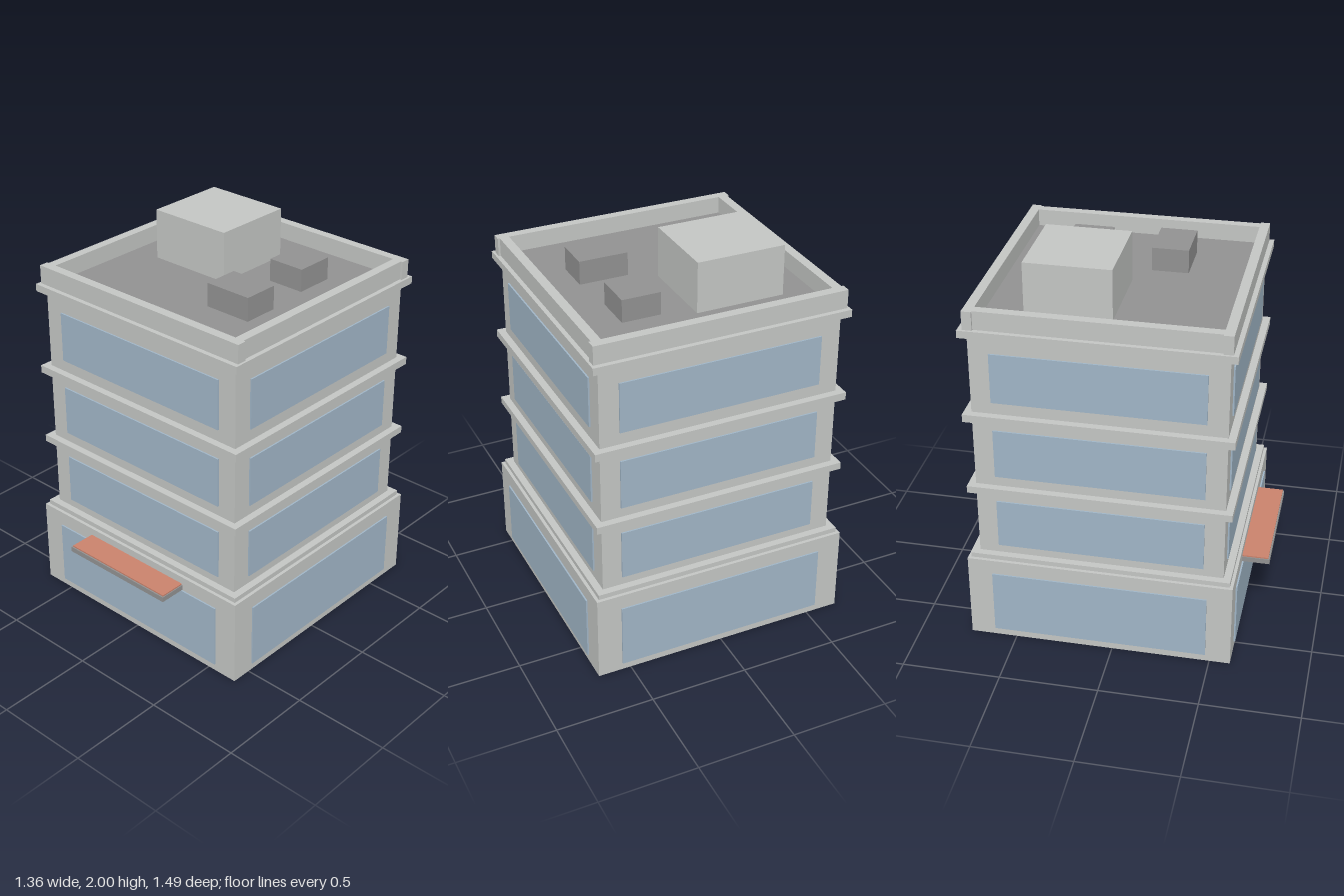
import * as THREE from 'three';

const make = (name, color) => {
  const m = new THREE.MeshStandardMaterial({ color });
  m.name = name;
  return m;
};

export function createModel() {
  const concrete = make('concrete', 0xc3c5c3);
  const glass = make('glass', 0xa0b5c6);
  const darkGrey = make('darkGrey', 0x919191);
  const terracotta = make('terracotta', 0xc9826c);
  const shell = make('shellConcrete', 0xc3c5c3);
  shell.side = THREE.DoubleSide;

  const building = new THREE.Group();
  building.name = 'officeBuilding';

  // Box given by its extents on each axis
  const box = (name, mat, [x0, x1], [y0, y1], [z0, z1], parent = building) => {
    const mesh = new THREE.Mesh(new THREE.BoxGeometry(x1 - x0, y1 - y0, z1 - z0), mat);
    mesh.position.set((x0 + x1) / 2, (y0 + y1) / 2, (z0 + z1) / 2);
    mesh.name = name;
    parent.add(mesh);
    return mesh;
  };

  // The tower stands slightly behind the origin to make room for the canopy
  const tower = new THREE.Group();
  tower.name = 'tower';
  tower.position.z = -0.066;
  building.add(tower);
  const block = (name, mat, half, y) => box(name, mat, [-half, half], y, [-half, half], tower);

  // One thin window plate on each of the four sides
  const windows = (name, wall, half, y) => {
    for (let i = 0; i < 4; i++) {
      const side = new THREE.Group();
      side.name = name;
      side.rotation.y = i * Math.PI / 2;
      box(name + 'Pane', glass, [-half, half], y, [wall - 0.001, wall + 0.008], side);
      tower.add(side);
    }
  };

  // Ground floor: a hollow shell, open underneath
  const ground = block('groundFloor', shell, 0.671, [0, 0.459]);
  const index = Array.from(ground.geometry.index.array);
  index.splice(18, 6);
  ground.geometry.setIndex(index);
  ground.geometry.clearGroups();
  windows('groundWindow', 0.671, 0.545, [0.04, 0.382]);

  // Upper floors with window bands and ledges
  block('upperFloors', concrete, 0.618, [0.47, 1.72]);
  for (const y of [0.53, 0.935, 1.35]) windows('upperWindow', 0.618, 0.518, [y, y + 0.26]);
  for (const [y0, y1] of [[0.46, 0.485], [0.845, 0.882], [1.247, 1.287], [1.697, 1.735]]) {
    block('ledge', concrete, 0.655, [y0, y1]);
  }

  // Roof deck and parapet
  block('roofDeck', darkGrey, 0.59, [1.734, 1.742]);
  for (const s of [-1, 1]) {
    const span = (a, b) => [Math.min(s * a, s * b), Math.max(s * a, s * b)];
    box('parapetAcross', concrete, [-0.643, 0.643], [1.735, 1.83], span(0.583, 0.631), tower);
    box('parapetSide', concrete, span(0.584, 0.632), [1.735, 1.83], [-0.583, 0.583], tower);
  }

  // Roof structures
  box('penthouse', concrete, [-0.43, 0.022], [1.74, 2], [-0.46, -0.032]);
  box('frontRoofUnit', darkGrey, [0.15, 0.402], [1.74, 1.863], [0.04, 0.225]);
  box('backRoofUnit', darkGrey, [0.178, 0.375], [1.74, 1.858], [-0.4, -0.197]);

  // Entrance canopy with a coloured top
  box('canopy', darkGrey, [-0.325, 0.325], [0.386, 0.413], [0.605, 0.745]);
  box('canopyTop', terracotta, [-0.32, 0.32], [0.413, 0.42], [0.605, 0.738]);

  return building;
}
